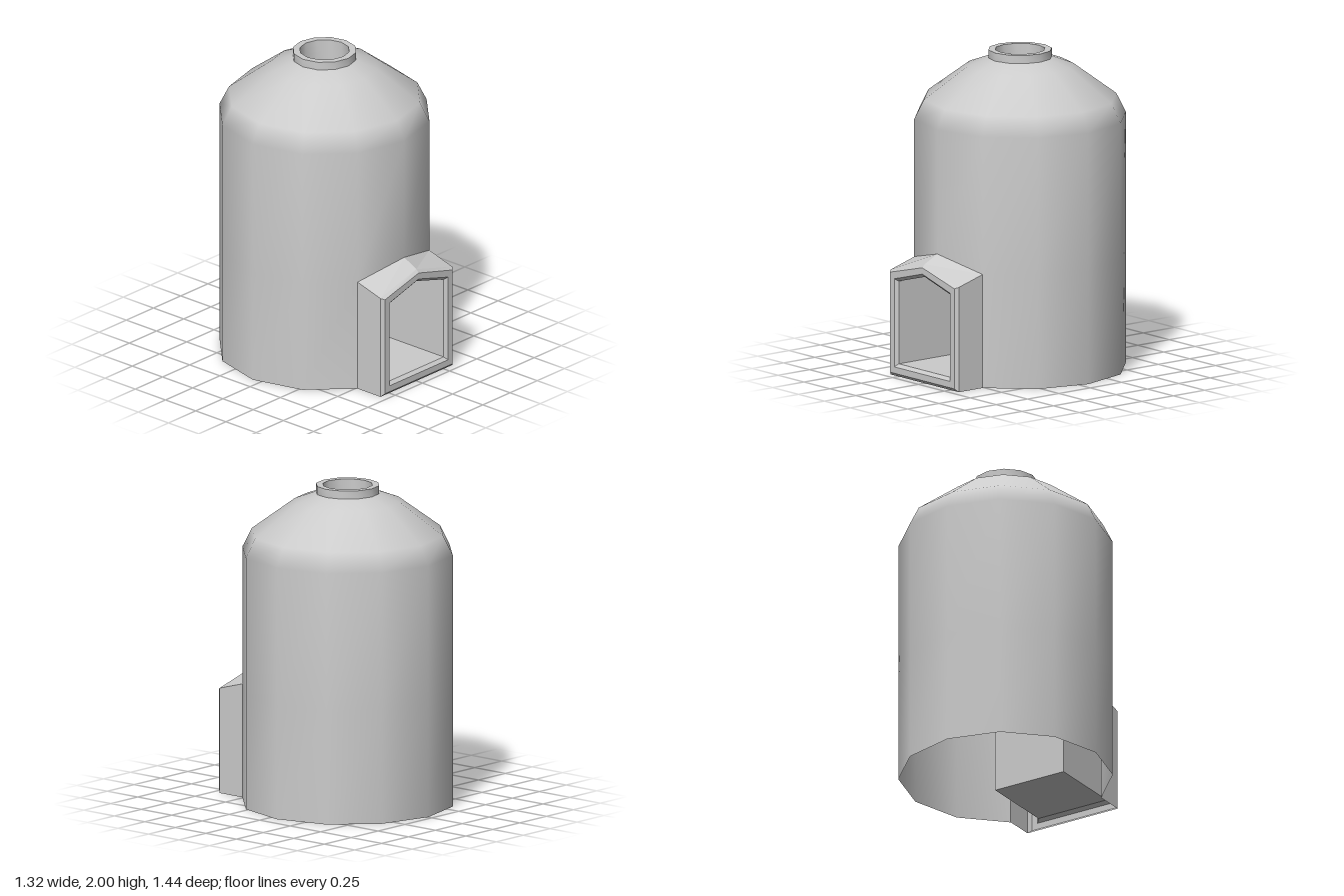
import * as THREE from 'three';
import { toCreasedNormals } from 'three/addons/utils/BufferGeometryUtils.js';

const SIDES = 12;
const CENTER_Z = -0.06;

function material(flatShading = false) {
  return new THREE.MeshStandardMaterial({ color: 0xcccccc, side: THREE.DoubleSide, flatShading });
}

// Twelve-sided tank wall and dome; the two front facets are cut away below the doorway roof
function tankGeometry() {
  const rings = [[0.66, 0], [0.66, 0.715], [0.66, 1.58], [0.6, 1.7], [0.33, 1.9], [0.195, 1.95]];
  const positions = [];
  const index = [];
  rings.forEach(([r, y], k) => {
    for (let i = 0; i < SIDES; i++) {
      const a = (i / SIDES) * Math.PI * 2;
      const gable = k === 1 && i === 0 ? 0.085 : 0;
      positions.push(r * Math.sin(a), y + gable, r * Math.cos(a) + CENTER_Z);
    }
  });
  for (let k = 0; k < rings.length - 1; k++) {
    for (let i = 0; i < SIDES; i++) {
      if (k === 0 && (i === 0 || i === SIDES - 1)) continue;
      const j = (i + 1) % SIDES;
      const a = k * SIDES + i, b = k * SIDES + j;
      index.push(a, b, b + SIDES, a, b + SIDES, a + SIDES);
    }
  }
  const g = new THREE.BufferGeometry();
  g.setAttribute('position', new THREE.Float32BufferAttribute(positions, 3));
  g.setIndex(index);
  g.computeVertexNormals();
  return g;
}

// Gabled five-point cross-section
function gable(w, floor, eave, peak, z, peakZ = z) {
  return [[-w, floor, z], [w, floor, z], [w, eave, z], [0, peak, peakZ], [-w, eave, z]];
}

// Doorway: outer walls and roof, bevelled frame, then the recess with its back wall
function doorwayGeometry() {
  const loops = [
    gable(0.33, 0, 0.715, 0.8, 0.51, 0.6),
    gable(0.33, 0, 0.66, 0.75, 0.7),
    gable(0.31, 0.02, 0.65, 0.73, 0.72),
    gable(0.27, 0.06, 0.615, 0.69, 0.72),
    gable(0.25, 0.08, 0.6, 0.67, 0.7),
    gable(0.25, 0.08, 0.6, 0.67, 0.21),
  ];
  const p = [];
  const tri = (...corners) => corners.forEach((c) => p.push(...c));
  for (let k = 0; k < loops.length - 1; k++) {
    const a = loops[k], b = loops[k + 1];
    for (let i = 0; i < 5; i++) {
      if (k === 0 && i === 0) continue; // underside stays open
      const j = (i + 1) % 5;
      tri(a[i], a[j], b[j]);
      tri(a[i], b[j], b[i]);
    }
  }
  const back = loops[loops.length - 1];
  for (let i = 1; i < 4; i++) tri(back[0], back[i], back[i + 1]);
  const g = new THREE.BufferGeometry();
  g.setAttribute('position', new THREE.Float32BufferAttribute(p, 3));
  g.computeVertexNormals();
  return g;
}

// Raised rim around the top opening, with a sunken floor
function collarGeometry() {
  const profile = [[0.198, 1.945], [0.198, 2], [0.155, 2], [0.155, 1.78], [0, 1.78]];
  const g = new THREE.LatheGeometry(profile.map(([r, y]) => new THREE.Vector2(r, y)), SIDES);
  g.translate(0, 0, CENTER_Z);
  return toCreasedNormals(g, 0.6);
}

export function createModel() {
  const group = new THREE.Group();
  group.name = 'domedTank';
  const add = (name, geometry, flat) => {
    const mesh = new THREE.Mesh(geometry, material(flat));
    mesh.name = name;
    group.add(mesh);
  };
  add('tankBody', tankGeometry(), false);
  add('doorway', doorwayGeometry(), true);
  add('topCollar', collarGeometry(), false);
  return group;
}
